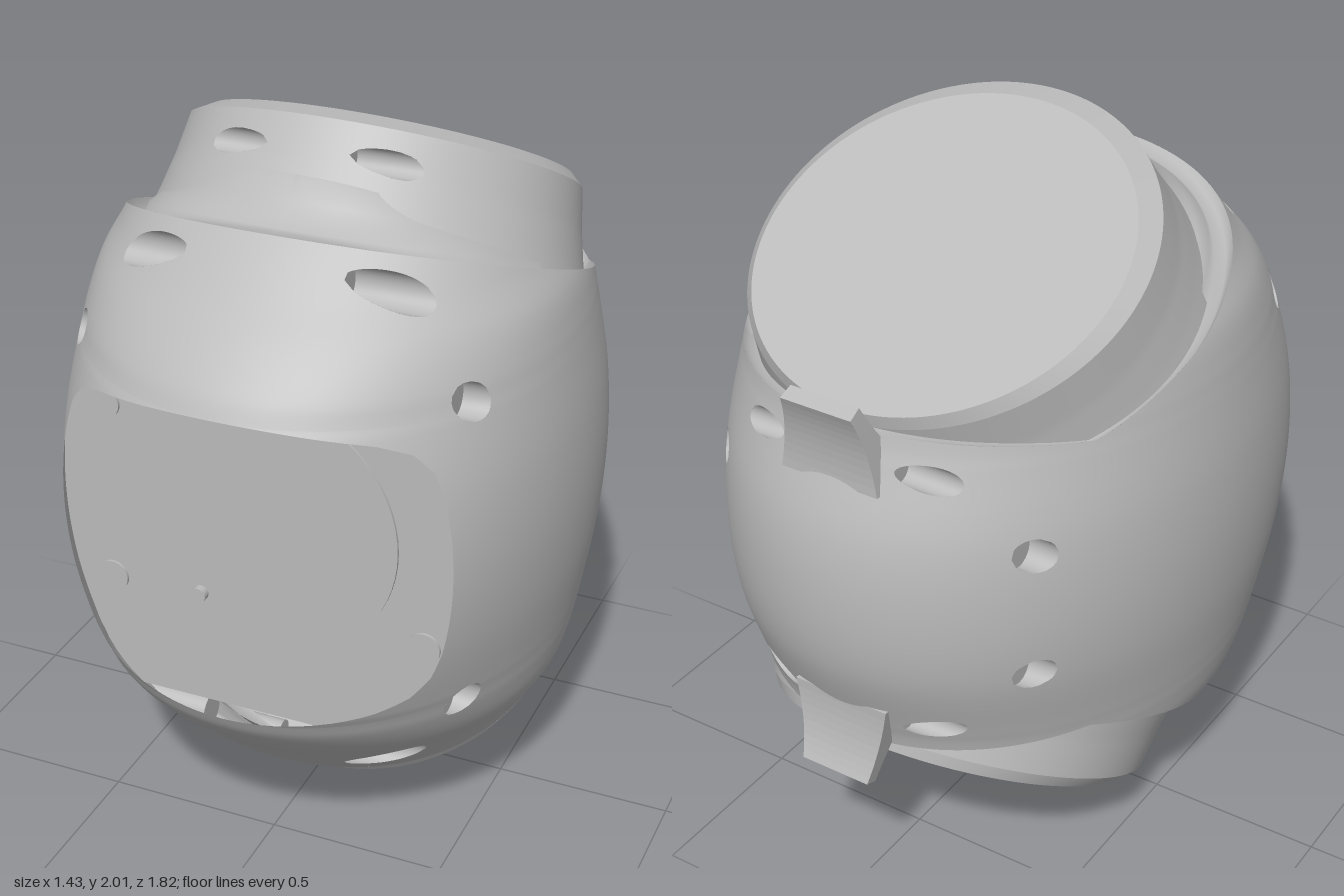
import * as THREE from 'three';
import { mergeVertices, mergeGeometries } from 'three/addons/utils/BufferGeometryUtils.js';

const V = (x, y, z) => new THREE.Vector3(x, y, z);
const lerp = THREE.MathUtils.lerp, clamp = THREE.MathUtils.clamp;

// value tables over height or depth
const table = Kind => (ts, vs) => {
  const c = new Kind(ts, vs, 1);
  return t => c.evaluate(t)[0];
};
const smooth = table(THREE.CubicInterpolant), linear = table(THREE.LinearInterpolant);

// shell cross-section: half width, front reach and back reach at each height
const hs = [0.8, 1, 1.2, 1.4, 1.435, 1.48, 1.58, 1.67, 1.8];
const halfWidth = smooth(hs, [0.705, 0.715, 0.705, 0.677, 0.671, 0.663, 0.637, 0.59, 0.535]);
const front = smooth(hs, [0.92, 0.95, 0.92, 0.83, 0.806, 0.78, 0.69, 0.592, 0.458]);
const back = smooth(hs, [0.885, 0.905, 0.885, 0.815, 0.802, 0.79, 0.77, 0.75, 0.7]);
const lipY = 1.435;
const openingZ = linear([1, 1.22, 1.3, 1.36, 1.395, 1.42, lipY], [0.6, 0.6, 0.607, 0.635, 0.69, 0.765, 0.806]);
const reach = (y, c) => (c > 0 ? front(y) : back(y));
const shellX = (y, z) => halfWidth(y) * Math.sqrt(Math.max(0, 1 - (z / reach(y, z)) ** 2));
const shellPoint = (y, a) => V(halfWidth(y) * Math.sin(a), y, reach(y, Math.cos(a)) * Math.cos(a));

// slanted rim where the shell meets the collar, rising again at the back
function rimY(a) {
  let y = 1.6;
  for (let i = 0; i < 20; i++) {
    const z = shellPoint(y, a).z;
    y = clamp(1.79 - (0.47 - z) * 0.372, 1.44 + 0.12 * Math.max(0, -z - 0.47), 1.79);
  }
  return y;
}

// tilted collar: radius and forward offset along its axis, and its frame
const C = { y: 1.755, z: -0.335 }, cos = 0.875, sin = 0.484;
const collarR = linear([-0.34, -0.25, -0.15, -0.035, 0], [0.615, 0.59, 0.566, 0.546, 0.505]);
const collarShift = linear([-0.34, -0.035, 0], [0.025, 0.03, 0]);
function collarPoint(n, a, r = collarR(n)) {
  const t = r * Math.cos(a) + collarShift(n);
  return V(r * Math.sin(a), C.y + t * sin + n * cos, C.z + t * cos - n * sin);
}
function collarX(y, z) {
  const n = (y - C.y) * cos - (z - C.z) * sin;
  const t = (z - C.z) * cos + (y - C.y) * sin - collarShift(n);
  return Math.sqrt(Math.max(0, collarR(n) ** 2 - t * t));
}

// side-drilled holes: z, y, radius
const shellHoles = [[0.46, 1.69, 0.05], [0.47, 1.44, 0.05], [-0.65, 1.18, 0.046], [-0.76, 1.38, 0.035]];
const collarHoles = [[0.2, 1.91, 0.035]];

// surface through rows of points; points inside a hole slide to its edge
function grid(rows, holes = [], xOf) {
  const w = rows[0].length, pos = [], idx = [], inHole = [];
  for (const p of rows.flat()) {
    const hole = holes.find(([z, y, r]) => p.x > 0 && Math.hypot(p.z - z, p.y - y) < r);
    if (hole) {
      const [z, y, r] = hole, ang = Math.atan2(p.y - y, p.z - z);
      p.z = z + r * Math.cos(ang);
      p.y = y + r * Math.sin(ang);
      p.x = xOf(p.y, p.z);
    }
    inHole.push(!!hole);
    pos.push(p.x, p.y, p.z);
  }
  const tri = (a, b, c) => { if (!(inHole[a] && inHole[b] && inHole[c])) idx.push(a, b, c); };
  for (let i = 0; i + 1 < rows.length; i++)
    for (let j = 0; j + 1 < w; j++) {
      const k = i * w + j;
      tri(k, k + 1, k + w + 1);
      tri(k, k + w + 1, k + w);
    }
  const g = new THREE.BufferGeometry();
  g.setAttribute('position', new THREE.Float32BufferAttribute(pos, 3));
  g.setIndex(idx);
  return g;
}

// add the mirror image across x = 0, or across the middle height y = 1
function mirror(g, axis) {
  const m = g.clone();
  if (axis === 'x') m.scale(-1, 1, 1);
  else m.scale(1, -1, 1).translate(0, 2, 0);
  const ix = m.index.array;
  for (let i = 0; i < ix.length; i += 3) [ix[i], ix[i + 1]] = [ix[i + 1], ix[i]];
  return mergeGeometries([g, m]);
}
function whole(g) {
  const out = mergeVertices(mirror(mirror(g, 'x'), 'y'), 1e-4);
  out.computeVertexNormals();
  return out;
}

const range = (n, f) => Array.from({ length: n + 1 }, (_, i) => f(i / n));

export function createModel() {
  const model = new THREE.Group();
  const grey = new THREE.MeshStandardMaterial({ color: 0xbababa, side: THREE.DoubleSide });
  grey.name = 'plain grey';
  const add = (name, g) => {
    const m = new THREE.Mesh(g, grey);
    m.name = name;
    model.add(m);
    return m;
  };

  // outer shell with the front opening; rows crowd together towards the lip
  const levels = [...range(15, t => 1 + 0.3 * t),
    ...range(20, t => lipY - (lipY - 1.3) * (1 - t) ** 2).slice(1),
    ...range(22, t => lerp(lipY, 1.79, t)).slice(1)];
  const shellRows = levels.map(level => {
    const a0 = level < lipY ? Math.acos(Math.min(1, openingZ(level) / front(level))) : 0;
    return range(130, t => {
      const a = Math.PI * t + a0 * (1 - t) ** 3;
      const y = level <= 1.3 ? level : lerp(1.3, rimY(a), (level - 1.3) / 0.49);
      return shellPoint(y, a);
    });
  });
  add('outerShell', whole(grid(shellRows, shellHoles, shellX)));

  // shelf inside the rim: grooved along the sides, sweeping up to the collar at the front
  const shelf = [[1, 0, 0], [0.975, -0.03, -0.004], [0.93, -0.03, -0.01], [0.91, 0, -0.008], [0.86, 0.02, 0.008],
    [0.8, 0.02, 0.04], [0.74, 0.02, 0.09], [0.68, 0.02, 0.09]];
  add('rimShelf', whole(grid(shelf.map(([s, sideRise, frontRise]) => range(90, t => {
    const a = t * Math.PI, p = shellPoint(rimY(a), a);
    const rise = sideRise * Math.sin(a) ** 2 + frontRise * Math.max(0, Math.cos(a));
    return V(p.x * s, p.y + rise, -0.2 + (p.z + 0.2) * s);
  })))));

  // tilted collars with bevelled flat ends
  const ring = (n, r) => range(90, t => collarPoint(n, t * Math.PI, r));
  add('collar', whole(grid(range(18, t => ring(lerp(-0.34, -0.035, t))), collarHoles, collarX)));
  add('collarBevel', whole(grid([ring(-0.035), ring(0)])));
  add('collarEnd', whole(grid([ring(0), ring(0, 0)])));

  // blind holes
  const cup = ([z, y, r], xOf) => {
    const edge = range(32, t => {
      const a = t * Math.PI * 2, py = y + r * Math.sin(a), pz = z + r * Math.cos(a);
      return V(xOf(py, pz), py, pz);
    });
    const floorX = Math.min(...edge.map(p => p.x)) - 0.005;
    const floor = edge.map(p => V(floorX, p.y, p.z));
    add('holeWall', whole(grid([edge, floor])));
    add('holeFloor', whole(grid([floor, floor.map(() => V(floorX, y, z))])));
  };
  shellHoles.forEach(h => cup(h, shellX));
  collarHoles.forEach(h => cup(h, collarX));

  // flat panel behind the opening, following the inside of the shell
  const panelZ = 0.53;
  const side = range(40, t => {
    const y = lerp(0.4, 1.6, t);
    return new THREE.Vector2(shellX(1 + Math.abs(y - 1), panelZ) - 0.004, y);
  });
  const outline = [...side, ...side.map(p => new THREE.Vector2(-p.x, p.y)).reverse()];
  add('innerPanel', new THREE.ShapeGeometry(new THREE.Shape(outline))).position.z = panelZ;

  // round plate, corner studs and the small floating front pin
  const disc = (name, r, depth, x, y, z) =>
    add(name, new THREE.CylinderGeometry(r, r, depth, 64).rotateX(Math.PI / 2)).position.set(x, y, z);
  disc('roundPlate', 0.38, 0.016, 0, 1, panelZ);
  for (const x of [-0.455, 0.455]) for (const y of [0.735, 1.265]) disc('cornerStud', 0.045, 0.016, x, y, panelZ);
  disc('frontPin', 0.02, 0.02, 0, 1, 0.9);

  // curved hook tabs at the back, narrowing towards the tip
  const tab = new THREE.Shape();
  tab.moveTo(0.77, 1.33);
  tab.lineTo(0.835, 1.33);
  tab.quadraticCurveTo(0.83, 1.46, 0.875, 1.555);
  tab.lineTo(0.835, 1.572);
  tab.quadraticCurveTo(0.795, 1.49, 0.77, 1.46);
  const tabGeo = new THREE.ExtrudeGeometry(tab, { depth: 0.24, bevelEnabled: false, curveSegments: 10 });
  tabGeo.translate(0, 0, -0.12).rotateY(Math.PI / 2);
  const p = tabGeo.attributes.position;
  for (let i = 0; i < p.count; i++) p.setX(i, p.getX(i) * lerp(1.2, 0.85, (p.getY(i) - 1.33) / 0.24));
  tabGeo.computeVertexNormals();
  add('upperTab', tabGeo);
  add('lowerTab', tabGeo.clone().rotateZ(Math.PI)).position.y = 2;

  return model;
}
